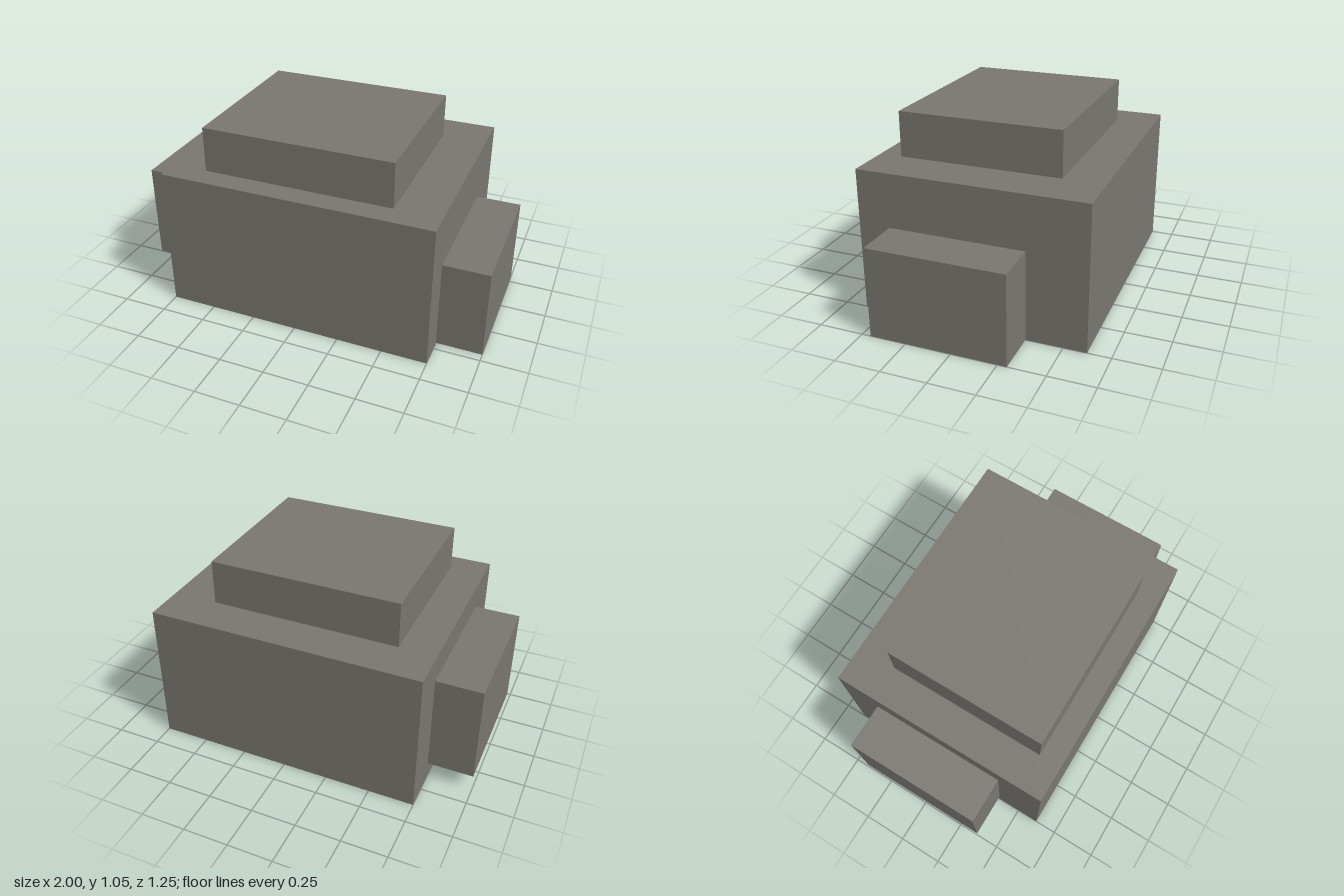
import * as THREE from 'three';

const stone = new THREE.MeshStandardMaterial({ color: 0x7a7770 });
stone.name = 'warm grey stone';

// Box given by its lower and upper corners
function block(name, [x0, y0, z0], [x1, y1, z1]) {
  const geometry = new THREE.BoxGeometry(x1 - x0, y1 - y0, z1 - z0);
  const mesh = new THREE.Mesh(geometry, stone);
  mesh.name = name;
  mesh.position.set((x0 + x1) / 2, (y0 + y1) / 2, (z0 + z1) / 2);
  return mesh;
}

export function createModel() {
  const model = new THREE.Group();
  model.name = 'blockyBoulder';
  model.add(
    // Main mass
    block('body', [-0.75, 0, -0.625], [0.75, 0.8, 0.625]),
    // Offset slab on top
    block('topSlab', [-0.55, 0.8, -0.4], [0.5, 1.05, 0.5]),
    // Side lumps: the left one rests on the ground, the right one is raised
    block('leftBlock', [0.75, 0, -0.3], [1, 0.5, 0.45]),
    block('rightBlock', [-1, 0.1, -0.4], [-0.75, 0.65, 0.37]),
  );
  return model;
}
